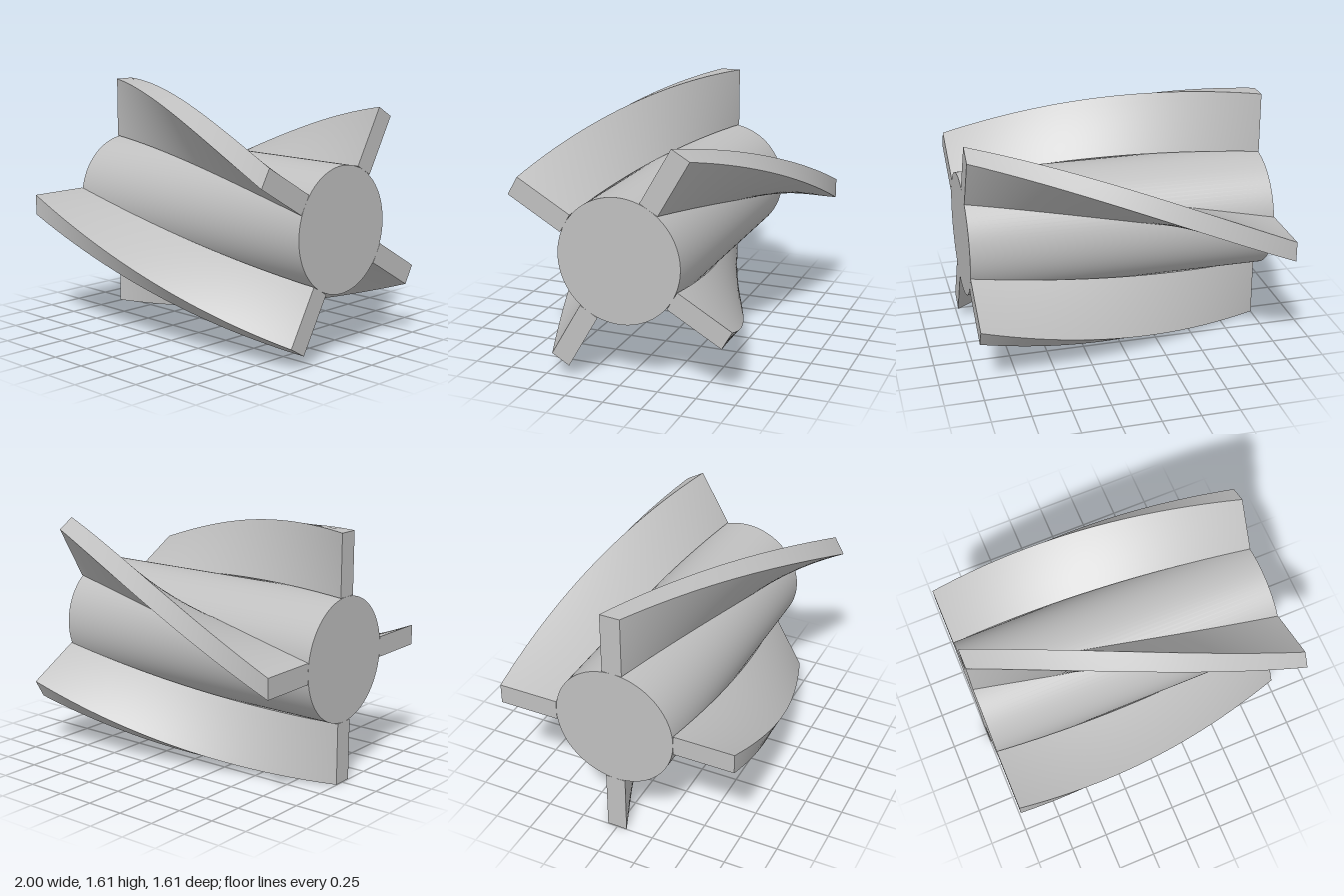
import * as THREE from 'three';

const LENGTH = 2, HUB_R = 0.4, TIP_R = 0.8, THICK = 0.133;
const AXIS_Y = Math.hypot(TIP_R, THICK / 2);
const TWIST = Math.PI / 3;

// Straight slab along x, twisted steadily about the rotor axis
function bladeGeometry() {
  const geo = new THREE.BoxGeometry(LENGTH, TIP_R - HUB_R, THICK, 64, 8, 1);
  geo.translate(0, (TIP_R + HUB_R) / 2, 0);
  const pos = geo.attributes.position;
  const axis = new THREE.Vector3(1, 0, 0);
  const v = new THREE.Vector3();
  for (let i = 0; i < pos.count; i++) {
    v.fromBufferAttribute(pos, i);
    v.applyAxisAngle(axis, TWIST * (v.x / LENGTH + 0.5));
    pos.setXYZ(i, v.x, v.y, v.z);
  }
  geo.computeVertexNormals();
  return geo;
}

export function createModel() {
  const grey = new THREE.MeshStandardMaterial({ color: 0xc0c0c0 });
  grey.name = 'lightGrey';

  const model = new THREE.Group();
  model.name = 'twistedRotor';

  // Solid round hub lying along x
  const hub = new THREE.Mesh(new THREE.CylinderGeometry(HUB_R, HUB_R, LENGTH, 96), grey);
  hub.name = 'hub';
  hub.rotation.z = -Math.PI / 2;
  hub.position.y = AXIS_Y;
  model.add(hub);

  // Four identical twisted blades
  const geo = bladeGeometry();
  for (let i = 0; i < 4; i++) {
    const blade = new THREE.Mesh(geo, grey);
    blade.name = `blade${i + 1}`;
    blade.rotation.x = (i * Math.PI) / 2;
    blade.position.y = AXIS_Y;
    model.add(blade);
  }
  return model;
}
